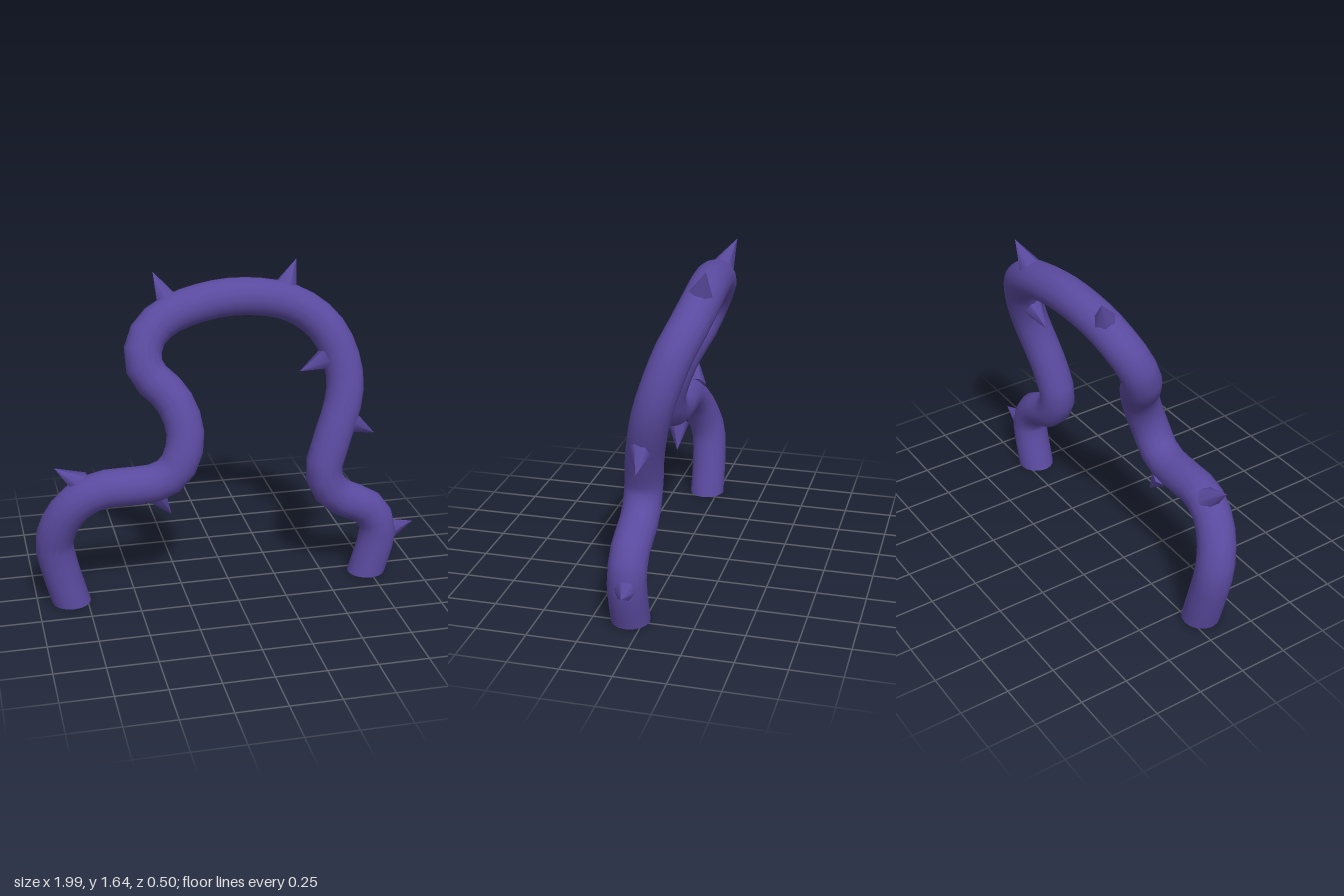
import * as THREE from 'three';

const RADIUS = 0.095;
const SIDES = 16;

export function createModel() {
  const group = new THREE.Group();
  group.name = 'thornyVineArch';
  const purple = new THREE.MeshStandardMaterial({ color: 0x5a4a9f });
  purple.name = 'vine purple';

  const add = (name, geometry) => {
    const mesh = new THREE.Mesh(geometry, purple);
    mesh.name = name;
    group.add(mesh);
    return mesh;
  };

  // Centre line of the vine, from the foot at -x over the arch to the foot at +x
  const path = [
    [-0.83, 0, 0.065], [-0.875, 0.17, 0.065], [-0.905, 0.34, 0.075], [-0.875, 0.46, 0.105],
    [-0.8, 0.57, 0.135], [-0.69, 0.635, 0.15], [-0.54, 0.645, 0.15], [-0.41, 0.65, 0.15],
    [-0.32, 0.69, 0.15], [-0.265, 0.77, 0.145], [-0.24, 0.88, 0.115], [-0.265, 1.0, 0.07],
    [-0.325, 1.09, 0.025], [-0.39, 1.15, -0.005], [-0.42, 1.23, -0.035], [-0.395, 1.325, -0.075],
    [-0.325, 1.395, -0.105], [-0.2, 1.45, -0.125], [0.04, 1.487, -0.15], [0.3, 1.455, -0.16],
    [0.45, 1.385, -0.14], [0.545, 1.29, -0.1], [0.598, 1.17, -0.06], [0.615, 1.04, -0.02],
    [0.595, 0.93, 0.01], [0.535, 0.765, 0.045], [0.488, 0.58, 0.065], [0.555, 0.46, 0.065],
    [0.73, 0.365, 0.065], [0.79, 0.26, 0.065], [0.785, 0.18, 0.065], [0.735, 0, 0.065],
  ].map((p) => new THREE.Vector3(...p));
  const curve = new THREE.CatmullRomCurve3(path);
  const segments = 56;
  const tube = new THREE.TubeGeometry(curve, segments, RADIUS, SIDES, false);

  // Slide both end rings along the vine so that the feet sit flat on the ground
  const pos = tube.attributes.position;
  for (const end of [0, 1]) {
    const t = curve.getTangentAt(end);
    for (let i = 0; i <= SIDES; i++) {
      const k = end * segments * (SIDES + 1) + i;
      const s = -pos.getY(k) / t.y;
      pos.setXYZ(k, pos.getX(k) + t.x * s, 0, pos.getZ(k) + t.z * s);
    }
    const cap = add(end ? 'leftFootCap' : 'rightFootCap',
      new THREE.CircleGeometry(RADIUS, SIDES).rotateX(Math.PI / 2));
    cap.scale.x = 1 / Math.abs(t.y);
    cap.position.copy(path[end * (path.length - 1)]);
  }
  add('vine', tube);

  // Thorns: base centre and tip
  const thorns = [
    [[-0.765, 0.67, 0.12], [-0.893, 0.768, 0.135]],
    [[-0.4, 0.58, 0.125], [-0.315, 0.453, 0.11]],
    [[-0.275, 1.49, -0.14], [-0.335, 1.625, -0.2]],
    [[0.335, 1.515, -0.175], [0.4, 1.645, -0.215]],
    [[0.525, 1.165, -0.055], [0.385, 1.1, -0.06]],
    [[0.63, 0.845, 0.035], [0.767, 0.765, 0.025]],
    [[0.85, 0.222, 0.055], [0.995, 0.245, 0.035]],
  ];
  const up = new THREE.Vector3(0, 1, 0);
  thorns.forEach(([a, b], i) => {
    const base = new THREE.Vector3(...a);
    const tip = new THREE.Vector3(...b);
    const dir = tip.clone().sub(base);
    const cone = add('thorn' + (i + 1), new THREE.ConeGeometry(0.06, dir.length(), 6));
    cone.position.copy(base).add(tip).multiplyScalar(0.5);
    cone.quaternion.setFromUnitVectors(up, dir.normalize());
  });

  return group;
}
